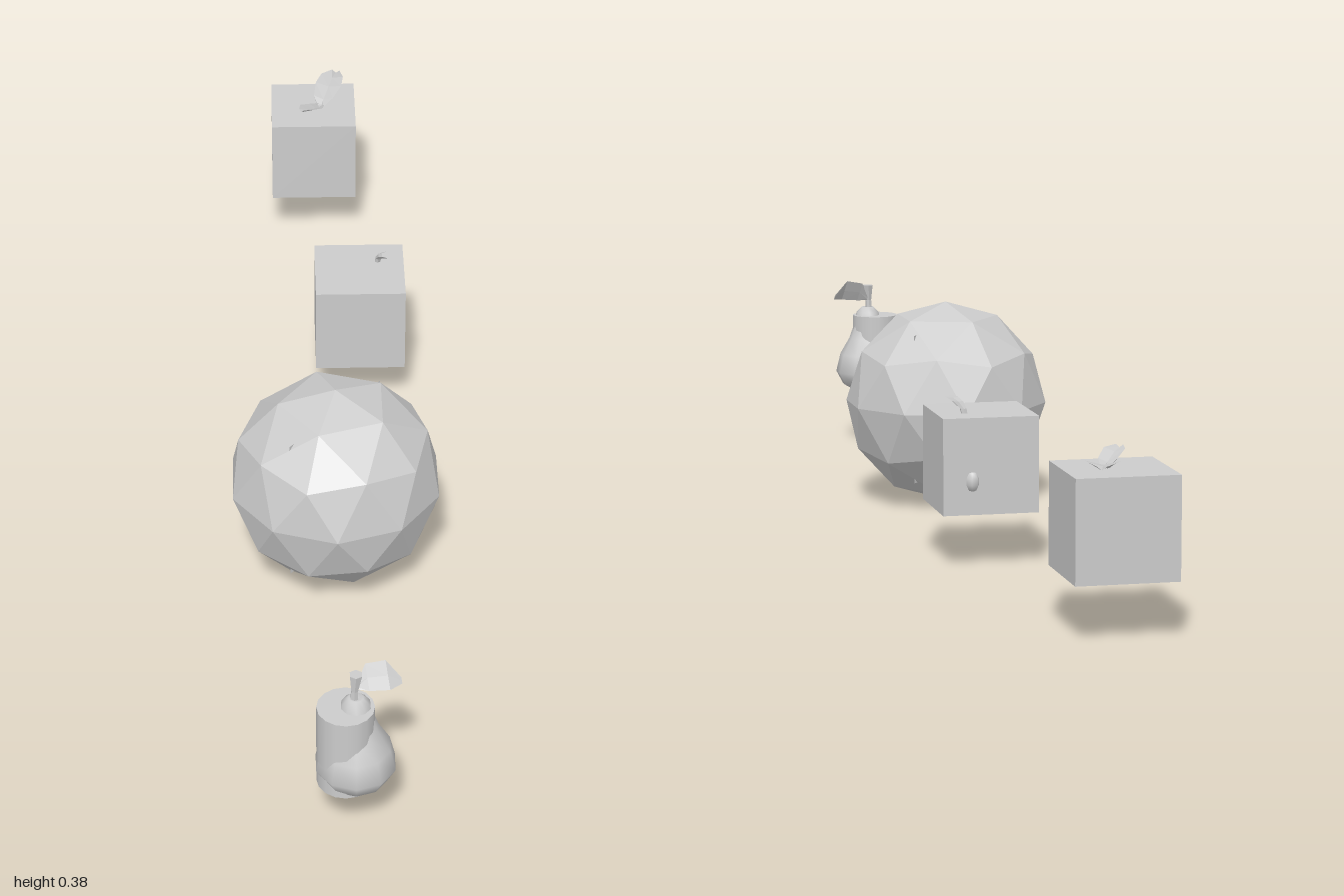
import * as THREE from 'three';

const grey = (extra = {}) => new THREE.MeshStandardMaterial({ color: 0xcccccc, ...extra });
const smooth = grey();
const flat = grey({ flatShading: true });
const sheet = grey({ flatShading: true, side: THREE.DoubleSide });

function add(parent, name, geometry, material, x = 0, y = 0, z = 0) {
  const mesh = new THREE.Mesh(geometry, material);
  mesh.name = name;
  mesh.position.set(x, y, z);
  parent.add(mesh);
  return mesh;
}

function group(parent, name) {
  const g = new THREE.Group();
  g.name = name;
  parent.add(g);
  return g;
}

// Folded leaf: spine rows [x, y, z, halfWidth], widened along the side vector
function leafGeometry(spine, side, fold = 0.006) {
  const positions = [], index = [];
  spine.forEach(([x, y, z, w], i) => {
    for (const s of [-1, 0, 1]) {
      positions.push(x + side[0] * w * s, y + side[1] * w * s - (s === 0 ? fold : 0), z + side[2] * w * s);
    }
    if (i === 0) return;
    for (const k of [0, 1]) {
      const a = (i - 1) * 3 + k, b = a + 3;
      index.push(a, a + 1, b, a + 1, b + 1, b);
    }
  });
  const g = new THREE.BufferGeometry();
  g.setAttribute('position', new THREE.Float32BufferAttribute(positions, 3));
  g.setIndex(index);
  g.computeVertexNormals();
  return g;
}

// Stem that widens towards its tip: rows [x, y, z, radius], rings lie level
function stemGeometry(rows, sides = 6) {
  const profile = rows.map(([, y, , r]) => new THREE.Vector2(r, y));
  const last = rows[rows.length - 1];
  profile.push(new THREE.Vector2(0, last[1]));
  const g = new THREE.LatheGeometry(profile, sides);
  const p = g.attributes.position;
  for (let i = 0; i < p.count; i++) {
    const row = rows[Math.min(i % profile.length, rows.length - 1)];
    p.setX(i, p.getX(i) + row[0]);
    p.setZ(i, p.getZ(i) + row[2]);
  }
  g.computeVertexNormals();
  return g;
}

export function createModel() {
  const model = new THREE.Group();
  model.name = 'fruitRow';

  // Pear with a cylinder running through it
  const pear = group(model, 'pear');
  const profile = [
    [0, 0.112], [0.026, 0.107], [0.052, 0.12], [0.066, 0.146], [0.057, 0.183],
    [0.038, 0.216], [0.028, 0.245], [0.023, 0.27], [0.012, 0.281], [0, 0.277],
  ].map(([r, y]) => new THREE.Vector2(r, y));
  add(pear, 'pearBody', new THREE.LatheGeometry(profile, 10), smooth, 0.016, 0, 0.935);
  add(pear, 'pearCylinder', new THREE.CylinderGeometry(0.046, 0.046, 0.151, 16), smooth, 0, 0.188, 0.937);
  add(pear, 'pearStem', stemGeometry([
    [0.013, 0.27, 0.935, 0.007], [0.014, 0.295, 0.935, 0.006], [0.016, 0.326, 0.933, 0.011],
  ]), flat);
  add(pear, 'pearLeaf', leafGeometry([
    [0.018, 0.298, 0.93, 0.004], [0.034, 0.313, 0.925, 0.022],
    [0.066, 0.317, 0.925, 0.024], [0.088, 0.303, 0.922, 0.005],
  ], [-0.15, 0.85, -0.5], 0.001), sheet);

  // Faceted round fruit, turned so a corner points straight up
  const round = group(model, 'roundFruit');
  const ball = new THREE.IcosahedronGeometry(0.1875, 1).rotateZ(Math.atan2(1, (1 + Math.sqrt(5)) / 2));
  add(round, 'roundBody', ball, flat, 0, 0.1875, 0.247);
  // Upright diagonal panel whose corners poke through the skin
  const panel = add(round, 'innerPanel', new THREE.PlaneGeometry(0.248, 0.275), sheet, 0, 0.1875, 0.247);
  panel.rotation.y = Math.atan2(0.095, 0.08);

  // Middle cube with a stem on top and a small tip on the back
  const middle = group(model, 'middleCube');
  add(middle, 'middleCubeBody', new THREE.BoxGeometry(0.166, 0.166, 0.166), flat, 0.058, 0.174, -0.3);
  add(middle, 'middleStem', stemGeometry([
    [0.09, 0.245, -0.33, 0.005], [0.094, 0.265, -0.326, 0.006],
    [0.102, 0.277, -0.316, 0.01], [0.11, 0.283, -0.308, 0.012],
  ]), flat);
  const tip = add(middle, 'middleTip', new THREE.SphereGeometry(0.016, 7, 5), smooth, 0.09, 0.148, -0.38);
  tip.scale.set(0.8, 1.15, 0.65);

  // Rear cube with two leaves on top
  const rear = group(model, 'rearCube');
  add(rear, 'rearCubeBody', new THREE.BoxGeometry(0.167, 0.166, 0.167), flat, -0.018, 0.174, -0.896);
  add(rear, 'rearLargeLeaf', leafGeometry([
    [-0.005, 0.256, -0.885, 0.004], [0.003, 0.268, -0.91, 0.02],
    [0.014, 0.277, -0.945, 0.027], [0.022, 0.28, -0.975, 0.023], [0.03, 0.278, -0.999, 0.008],
  ], [0.94, 0, 0.3]), sheet);
  add(rear, 'rearSmallLeaf', leafGeometry([
    [0.002, 0.256, -0.905, 0.004], [-0.012, 0.268, -0.875, 0.016],
    [-0.03, 0.28, -0.85, 0.018], [-0.042, 0.283, -0.836, 0.006],
  ], [0.8, 0, 0.55]), sheet);

  return model;
}
